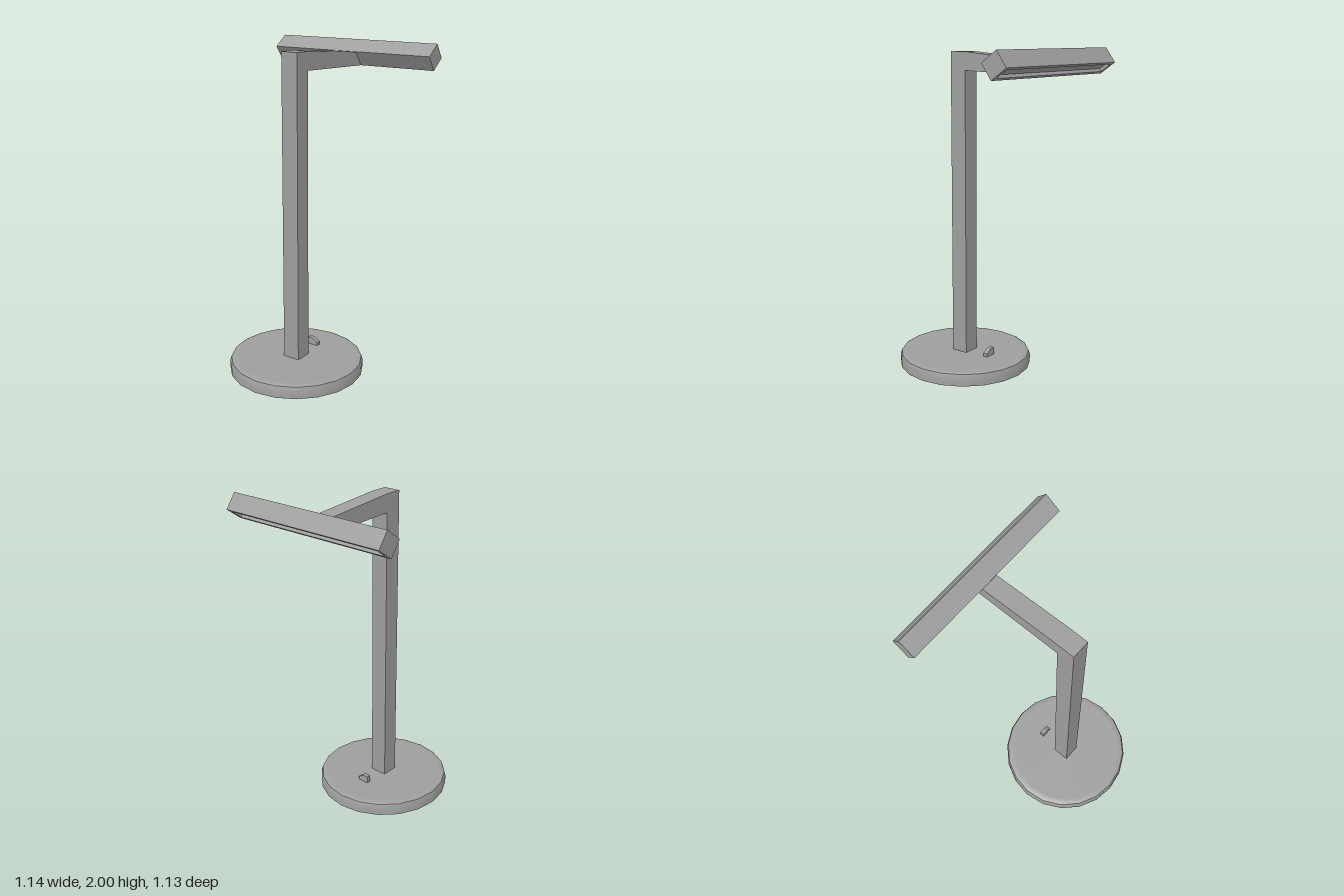
import * as THREE from 'three';
import { toCreasedNormals } from 'three/addons/utils/BufferGeometryUtils.js';

const material = new THREE.MeshStandardMaterial({ color: 0x9e9e9e });

function addPart(group, name, geometry) {
  const mesh = new THREE.Mesh(geometry, material);
  mesh.name = name;
  group.add(mesh);
  return mesh;
}

const toVectors = (points) => points.map(([x, y]) => new THREE.Vector2(x, y));

// Extrude an outline by a depth, centred on z
function slab(points, depth) {
  const shape = new THREE.Shape(toVectors(points));
  const geometry = new THREE.ExtrudeGeometry(shape, { depth, bevelEnabled: false });
  return geometry.translate(0, 0, -depth / 2);
}

export function createModel() {
  const lamp = new THREE.Group();
  lamp.name = 'deskLamp';

  // Round base with a softened upper rim
  const profile = toVectors([
    [0, 0], [0.42, 0], [0.42, 0.045], [0.411, 0.073], [0.398, 0.08], [0.37, 0.08], [0, 0.08],
  ]);
  const base = addPart(lamp, 'base', toCreasedNormals(new THREE.LatheGeometry(profile, 20), 0.6));
  base.position.x = -0.15;

  // Upright post and sloping arm in one piece
  addPart(lamp, 'postAndArm', slab([
    [-0.206, 0.07], [-0.098, 0.07], [-0.098, 1.866], [0.475, 1.843],
    [0.411, 1.931], [-0.098, 1.977], [-0.206, 1.978],
  ], 0.11));

  // Wedge-topped switch on the base
  const toggle = addPart(lamp, 'switch', slab([
    [-0.036, 0.075], [0.036, 0.075], [0.036, 0.125], [0.002, 0.125], [-0.036, 0.102],
  ], 0.028));
  toggle.rotation.y = Math.PI / 2;
  toggle.position.x = 0.041;

  // Tilted head: local x runs across, local y up, length along z
  const head = new THREE.Group();
  head.name = 'head';
  head.position.set(0.475, 1.843, 0);
  head.rotation.z = Math.atan2(0.067, 0.094);
  lamp.add(head);
  const width = 0.117, height = 0.109, length = 1.128, rim = 0.021, endRim = 0.026, recess = 0.021;

  // Solid upper part of the head, whose underside is the light panel
  const body = addPart(head, 'headBody', new THREE.BoxGeometry(width, height - recess, length));
  body.position.set(width / 2, (height + recess) / 2, 0);

  // Rim framing the recessed light panel
  const half = length / 2;
  const frame = new THREE.Shape(toVectors([[0, -half], [width, -half], [width, half], [0, half]]));
  const end = half - endRim;
  frame.holes.push(new THREE.Path(toVectors([
    [rim, -end], [rim, end], [width - rim, end], [width - rim, -end],
  ])));
  const frameGeometry = new THREE.ExtrudeGeometry(frame, { depth: recess, bevelEnabled: false });
  frameGeometry.rotateX(-Math.PI / 2);
  addPart(head, 'lightFrame', frameGeometry);

  return lamp;
}
